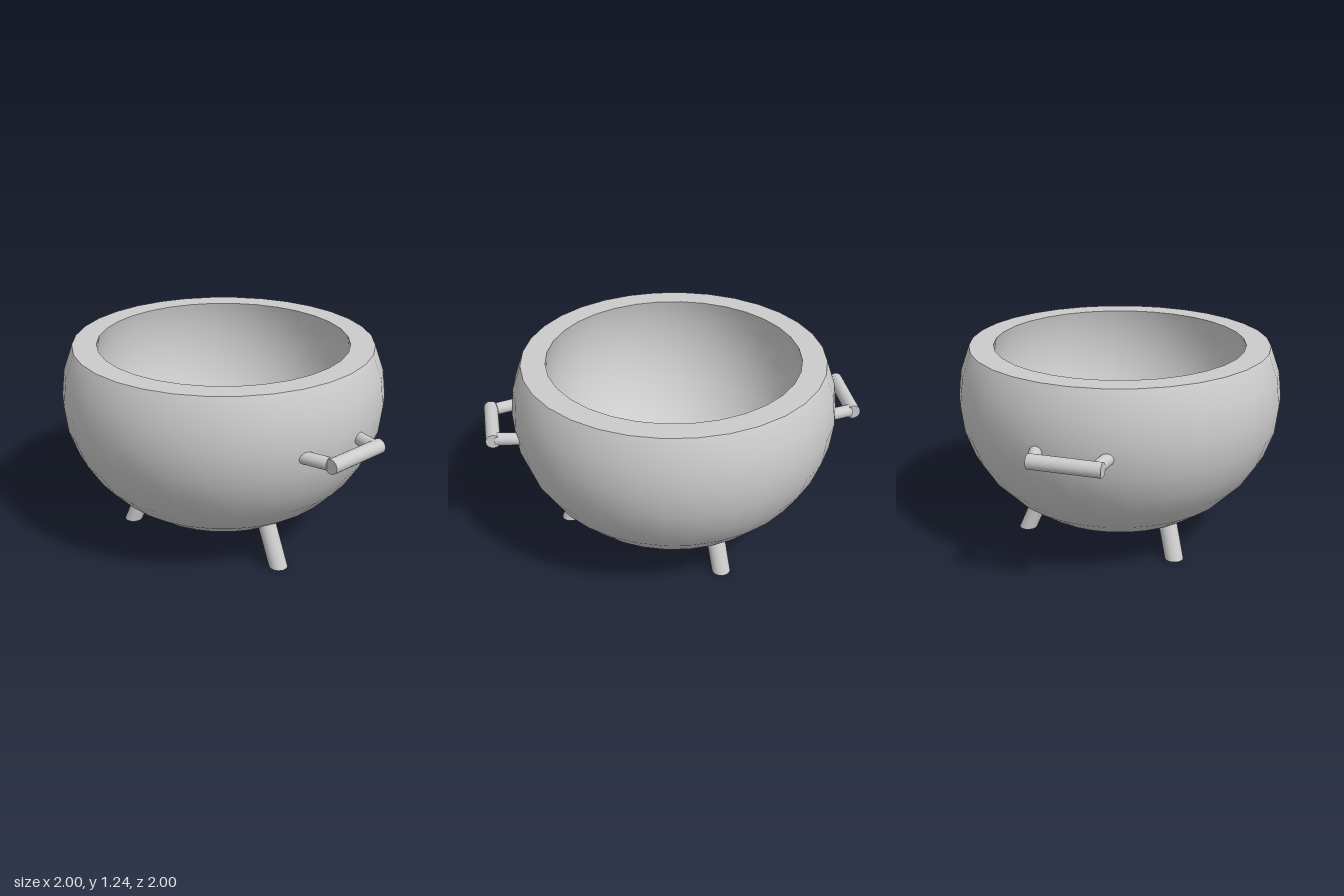
import * as THREE from 'three';

const material = new THREE.MeshStandardMaterial({ color: 0xcccccc });
const RIM_Y = 1.237, SIDES = 32;
const OUTER = { rx: 1, ry: 0.85, y: 0.912 }, INNER = { rx: 0.79, ry: 0.79, y: 1.084 };

function addMesh(parent, name, geometry) {
  const mesh = new THREE.Mesh(geometry, material);
  mesh.name = name;
  parent.add(mesh);
  return mesh;
}

// Angle above the equator at which an ellipsoid meets the rim plane
const rimAngle = ({ ry, y }) => Math.asin((RIM_Y - y) / ry);
const rimRadius = (wall) => wall.rx * Math.cos(rimAngle(wall));

// Ellipsoid cut off at the rim plane
function wallGeometry(wall) {
  const start = Math.PI / 2 - rimAngle(wall);
  const geometry = new THREE.SphereGeometry(1, SIDES, 10, 0, Math.PI * 2, start, Math.PI - start);
  return geometry.scale(wall.rx, wall.ry, wall.rx).translate(0, wall.y, 0);
}

// Turn a surface inside out so it is seen from within
function turnInward(geometry) {
  geometry.index.array.reverse();
  const normals = geometry.attributes.normal.array;
  for (let i = 0; i < normals.length; i++) normals[i] *= -1;
  return geometry;
}

// Round rod between two points
function addRod(parent, name, from, to, radius) {
  const a = new THREE.Vector3(...from), b = new THREE.Vector3(...to);
  const dir = b.clone().sub(a);
  const rod = addMesh(parent, name, new THREE.CylinderGeometry(radius, radius, dir.length(), 24));
  rod.position.copy(a).add(b).multiplyScalar(0.5);
  rod.quaternion.setFromUnitVectors(new THREE.Vector3(0, 1, 0), dir.normalize());
}

// Handle: a straight grip on two converging arms, given as [x, z] points
function addHandle(parent, name, gripEnds, arms) {
  const handle = new THREE.Group();
  handle.name = name;
  const at = ([x, z]) => [x, 0.857, z];
  addRod(handle, 'grip', at(gripEnds[0]), at(gripEnds[1]), 0.044);
  for (const [a, b] of arms) addRod(handle, 'handleArm', at(a), at(b), 0.038);
  parent.add(handle);
}

export function createModel() {
  const model = new THREE.Group();
  model.name = 'cauldron';

  // Thick-walled bowl with a flat rim
  const bowl = new THREE.Group();
  bowl.name = 'bowl';
  model.add(bowl);
  addMesh(bowl, 'outerWall', wallGeometry(OUTER));
  addMesh(bowl, 'innerWall', turnInward(wallGeometry(INNER)));
  const rim = new THREE.RingGeometry(rimRadius(INNER), rimRadius(OUTER), SIDES);
  addMesh(bowl, 'rim', rim.rotateX(-Math.PI / 2).translate(0, RIM_Y, 0));

  // Handles on opposite sides
  addHandle(model, 'frontHandle', [[0.945, 0.63], [0.674, 0.932]],
    [[[0.80, 0.495], [0.915, 0.641]], [[0.48, 0.80], [0.664, 0.892]]]);
  addHandle(model, 'backHandle', [[-0.96, -0.604], [-0.66, -0.905]],
    [[[-0.80, -0.47], [-0.92, -0.625]], [[-0.49, -0.775], [-0.662, -0.876]]]);

  // Splayed legs, sheared so the feet stay flat on the ground
  const legs = [
    { name: 'rightLeg', x: -0.591, z: 0.065, dx: 0.41, dz: 0, top: 0.25 },
    { name: 'frontLeg', x: 0.392, z: 0.574, dx: -0.31, dz: -0.28, top: 0.3 },
    { name: 'backLeg', x: 0.235, z: -0.553, dx: -0.2, dz: 0.38, top: 0.25 },
  ];
  for (const { name, x, z, dx, dz, top } of legs) {
    const geometry = new THREE.CylinderGeometry(0.057, 0.057, top, 24);
    geometry.translate(0, top / 2, 0);
    geometry.applyMatrix4(new THREE.Matrix4().makeShear(0, 0, dx, dz, 0, 0));
    addMesh(model, name, geometry).position.set(x, 0, z);
  }
  return model;
}
